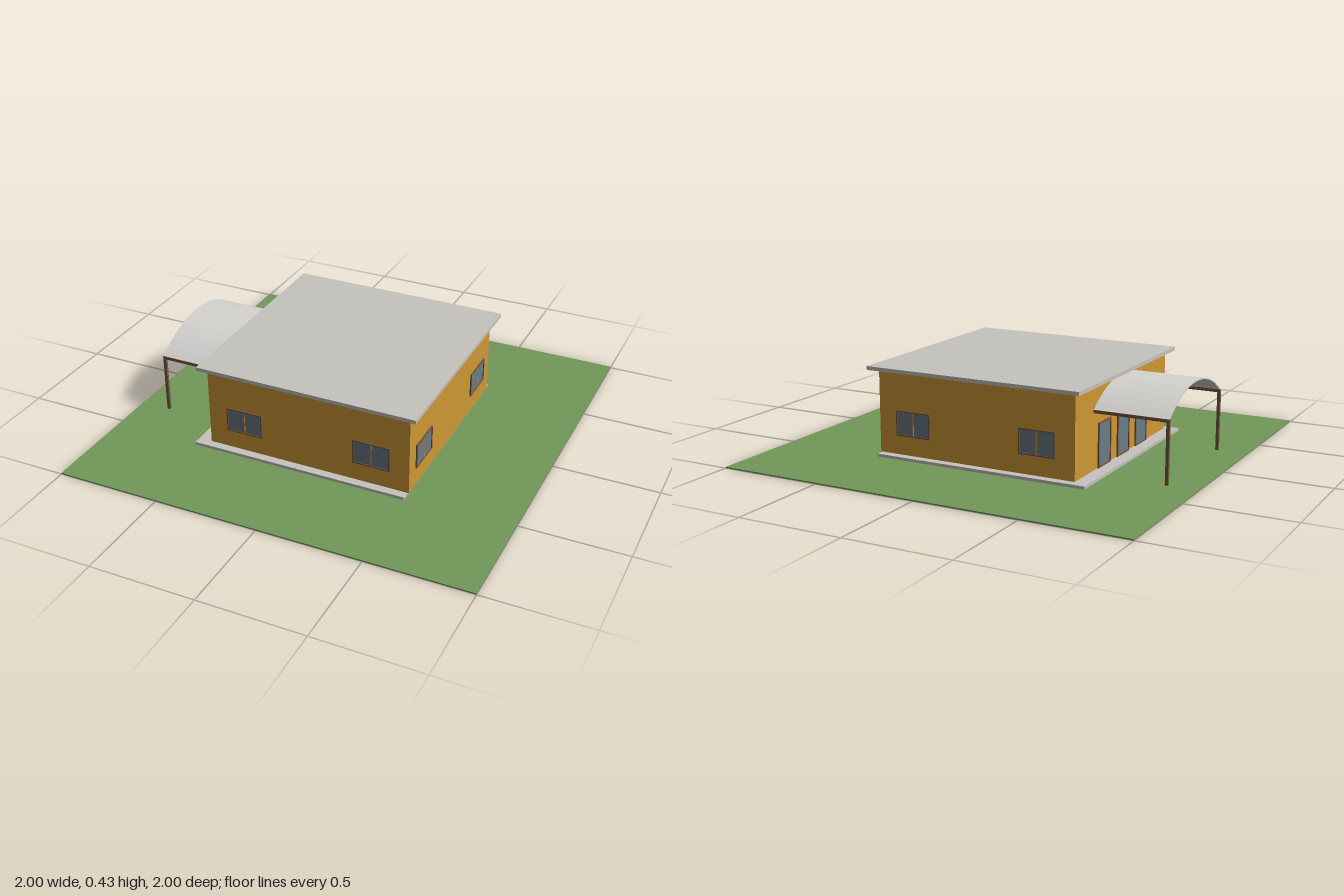
import * as THREE from 'three';

const mat = (name, color, extra = {}) => {
  const m = new THREE.MeshStandardMaterial({ color, ...extra });
  m.name = name;
  return m;
};

export function createModel() {
  const grass = mat('grass', 0x72985a);
  const concrete = mat('concrete', 0xc6c3be);
  const ochre = mat('ochreWall', 0xcf9834);
  const wood = mat('brownWood', 0x76573f);
  const glass = mat('glass', 0x6a7b86);
  const sheet = mat('canopySheet', 0xd6d5d2, { side: THREE.DoubleSide, flatShading: true });

  const model = new THREE.Group();
  model.name = 'house';

  // Box given by its min and max corners
  const box = (name, material, [x0, y0, z0], [x1, y1, z1], parent = model) => {
    const mesh = new THREE.Mesh(new THREE.BoxGeometry(x1 - x0, y1 - y0, z1 - z0), material);
    mesh.position.set((x0 + x1) / 2, (y0 + y1) / 2, (z0 + z1) / 2);
    mesh.name = name;
    parent.add(mesh);
    return mesh;
  };

  box('lawn', grass, [-1, 0, -1], [1, 0.006, 1]);
  box('floorSlab', concrete, [-0.57, 0.006, -0.54], [0.49, 0.02, 0.54]);
  box('walls', ochre, [-0.505, 0.02, -0.5], [0.497, 0.412, 0.5]);
  box('roof', concrete, [-0.54, 0.412, -0.54], [0.537, 0.43, 0.54]);

  // Framed glazing in the local xy plane, facing +z, split into equal panes
  const glazing = (name, width, y0, y1, panes) => {
    const g = new THREE.Group();
    g.name = name;
    const f = 0.006, w = width / 2, d = 0.007;
    box('glass', glass, [-w + f, y0 + f, 0], [w - f, y1 - f, 0.003], g);
    box('frameTop', wood, [-w, y1 - f, 0], [w, y1, d], g);
    box('frameBottom', wood, [-w, y0, 0], [w, y0 + f, d], g);
    for (const s of [-1, 1]) {
      const x = s * (w - f / 2);
      box('frameSide', wood, [x - f / 2, y0 + f, 0], [x + f / 2, y1 - f, d], g);
    }
    for (let i = 1; i < panes; i++) {
      const x = -w + (width * i) / panes;
      box('mullion', ochre, [x - 0.003, y0 + f, 0], [x + 0.003, y1 - f, 0.005], g);
    }
    model.add(g);
    return g;
  };

  // Two windows on the front, back and left walls
  for (const s of [-1, 1]) {
    glazing('frontWindow', 0.18, 0.11, 0.23, 2).position.set(s * 0.318 - 0.003, 0, 0.5);
    const back = glazing('backWindow', 0.18, 0.11, 0.23, 2);
    back.position.set(s * 0.318 - 0.003, 0, -0.5);
    back.rotation.y = Math.PI;
    const side = glazing('sideWindow', 0.18, 0.11, 0.23, 2);
    side.position.set(0.497, 0, s * 0.338);
    side.rotation.y = Math.PI / 2;
  }

  // Glazed doors under the canopy
  for (const z of [-0.205, 0, 0.205]) {
    const door = glazing('door', 0.13, 0.02, 0.228, 1);
    door.position.set(-0.505, 0, z);
    door.rotation.y = -Math.PI / 2;
  }

  // Canopy: thin arched sheet on beams and posts
  const canopy = new THREE.Group();
  canopy.name = 'canopy';
  model.add(canopy);
  const half = 0.316, rise = 0.108, steps = 14, thick = 0.006;
  const radius = (half * half + rise * rise) / (2 * rise);
  const sweep = Math.asin(half / radius);
  const arc = (r) => Array.from({ length: steps + 1 }, (_, i) => {
    const a = -sweep + (2 * sweep * i) / steps;
    return new THREE.Vector2(r * Math.sin(a), r * Math.cos(a) - radius + rise);
  });
  const profile = new THREE.Shape([...arc(radius), ...arc(radius - thick).reverse()]);
  const vault = new THREE.Mesh(
    new THREE.ExtrudeGeometry(profile, { depth: 0.355, bevelEnabled: false }), sheet);
  vault.name = 'canopyRoof';
  vault.rotation.y = -Math.PI / 2;
  vault.position.set(-0.505, 0.299, 0);
  canopy.add(vault);

  for (const s of [-1, 1]) {
    const z = s * 0.313, t = 0.007;
    box('canopyBeam', wood, [-0.862, 0.285, z - t], [-0.505, 0.299, z + t], canopy);
    box('canopyPost', wood, [-0.862, 0.006, z - t], [-0.848, 0.285, z + t], canopy);
  }
  return model;
}
